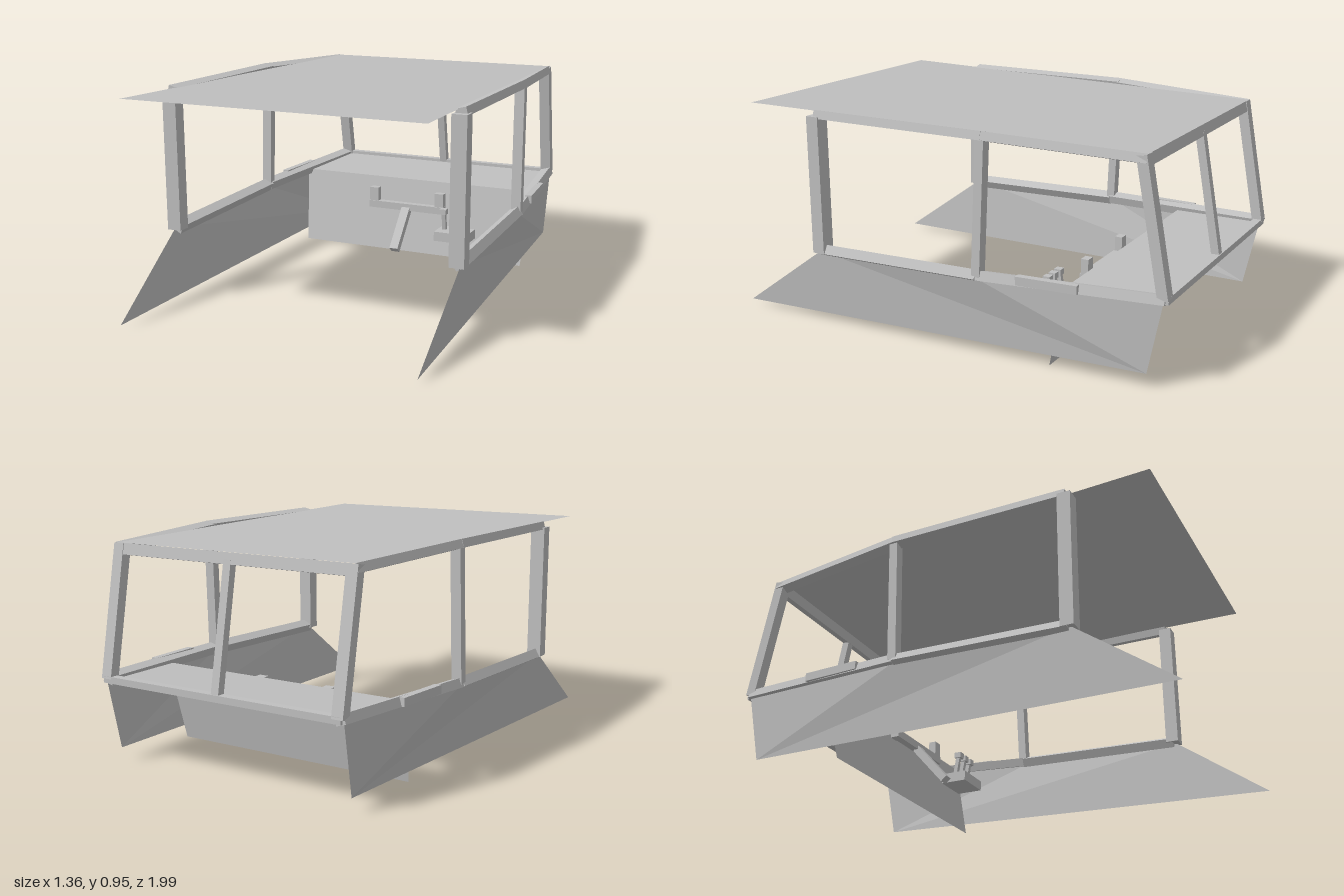
import * as THREE from 'three';

const V = (x, y, z) => new THREE.Vector3(x, y, z);

export function createModel() {
  const model = new THREE.Group();
  model.name = 'cabin';
  const metal = new THREE.MeshStandardMaterial({ color: 0xbfbfbf, side: THREE.DoubleSide, flatShading: true });
  metal.name = 'grey metal';

  const add = (parent, name, geometry) => {
    const mesh = new THREE.Mesh(geometry, metal);
    mesh.name = name;
    parent.add(mesh);
    return mesh;
  };

  // Square bar between two points, w across, h along the up direction
  const bar = (parent, name, p, q, w, h, up = V(0, 1, 0), roll = 0) => {
    const dir = q.clone().sub(p);
    const mesh = add(parent, name, new THREE.BoxGeometry(w, h, dir.length()));
    const zAxis = dir.normalize();
    const xAxis = up.clone().cross(zAxis).normalize();
    const yAxis = zAxis.clone().cross(xAxis);
    mesh.quaternion.setFromRotationMatrix(new THREE.Matrix4().makeBasis(xAxis, yAxis, zAxis));
    mesh.position.copy(p).add(q).multiplyScalar(0.5);
    mesh.rotateZ(roll);
  };

  const box = (parent, name, w, h, d, x, y, z) =>
    add(parent, name, new THREE.BoxGeometry(w, h, d)).position.set(x, y, z);

  // Thin sheet from a few corners and the triangles joining them
  const sheet = (parent, name, corners, faces) => {
    const g = new THREE.BufferGeometry().setFromPoints(faces.flat().map(i => corners[i]));
    g.computeVertexNormals();
    add(parent, name, g);
  };
  const quad = [[0, 1, 2], [0, 2, 3]];

  // Roof, dashboard shelf and front wall
  sheet(model, 'roof', [V(-0.65, 0.94, 0.93), V(0.65, 0.94, 0.93), V(0.57, 0.92, -0.885), V(-0.57, 0.92, -0.885)], quad);
  sheet(model, 'shelf', [V(-0.605, 0.355, -0.57), V(0.605, 0.355, -0.57), V(0.575, 0.37, -0.97), V(-0.575, 0.37, -0.97)], quad);
  sheet(model, 'wall', [V(-0.573, 0, -0.495), V(0.573, 0, -0.495), V(0.605, 0.355, -0.57), V(-0.605, 0.355, -0.57)], quad);

  // Both sides: skirt panel, rails, posts and handle
  for (const s of [1, -1]) {
    const side = new THREE.Group();
    side.name = s > 0 ? 'leftSide' : 'rightSide';
    model.add(side);
    const P = (x, y, z) => V(x * s, y, z);
    const Y = V(0, 1, 0), Z = V(0, 0, 1);

    const corners = [P(0.65, 0.02, 1), P(0.57, 0.06, -0.91), P(0.655, 0.325, 0.58), P(0.647, 0.34, -0.2), P(0.577, 0.36, -0.97)];
    const faces = [[0, 1, 2], [2, 1, 3], [3, 1, 4]];
    sheet(side, 'skirtPanel', corners, s > 0 ? faces : faces.map(f => [...f].reverse()));

    bar(side, 'upperFrontRail', P(0.645, 0.923, 0.575), P(0.637, 0.923, -0.23), 0.046, 0.036, Y, -0.25 * s);
    bar(side, 'upperRearRail', P(0.637, 0.922, -0.22), P(0.56, 0.898, -0.885), 0.046, 0.036, Y, -0.3 * s);
    bar(side, 'lowerFrontRail', P(0.645, 0.327, 0.575), P(0.637, 0.349, -0.2), 0.046, 0.042, Y, -0.5 * s);
    bar(side, 'lowerRearRail', P(0.637, 0.35, -0.2), P(0.562, 0.37, -0.975), 0.046, 0.04, Y, -0.3 * s);
    bar(side, 'frontPost', P(0.646, 0.32, 0.575), P(0.647, 0.92, 0.575), 0.064, 0.058, Z);
    bar(side, 'middlePost', P(0.638, 0.35, -0.203), P(0.633, 0.91, -0.224), 0.045, 0.038, Z);
    bar(side, 'rearPost', P(0.56, 0.37, -0.97), P(0.56, 0.915, -0.866), 0.05, 0.044, Z);
    bar(side, 'handle', P(0.638, 0.365, -0.38), P(0.62, 0.368, -0.64), 0.03, 0.036);
  }

  // Rear window frame
  const rearUp = V(0, 0.98, 0.2);
  bar(model, 'rearUpperRail', V(-0.56, 0.893, -0.872), V(0.56, 0.893, -0.872), 0.035, 0.046, rearUp);
  bar(model, 'rearLowerRail', V(-0.575, 0.37, -0.972), V(0.575, 0.37, -0.972), 0.036, 0.028);
  bar(model, 'windowDivider', V(0, 0.375, -0.97), V(0, 0.89, -0.874), 0.036, 0.034, V(0, 0, 1));

  // Steering column and handlebar
  const steering = new THREE.Group();
  steering.name = 'steering';
  model.add(steering);
  bar(steering, 'column', V(0, 0.062, -0.3), V(0, 0.232, -0.45), 0.042, 0.034);
  box(steering, 'crossbar', 0.39, 0.034, 0.034, 0, 0.243, -0.455);
  for (const s of [1, -1]) box(steering, 'grip', 0.045, 0.1, 0.034, s * 0.172, 0.276, -0.46);

  // Control levers
  const controls = new THREE.Group();
  controls.name = 'controls';
  model.add(controls);
  box(controls, 'leverBase', 0.166, 0.045, 0.12, 0.283, 0.153, -0.37);
  for (const x of [0.231, 0.282, 0.333]) {
    bar(controls, 'leverStem', V(x, 0.17, -0.375), V(x, 0.258, -0.36), 0.018, 0.018, V(0, 0, 1));
    box(controls, 'leverKnob', 0.032, 0.026, 0.032, x, 0.267, -0.358);
  }

  return model;
}
